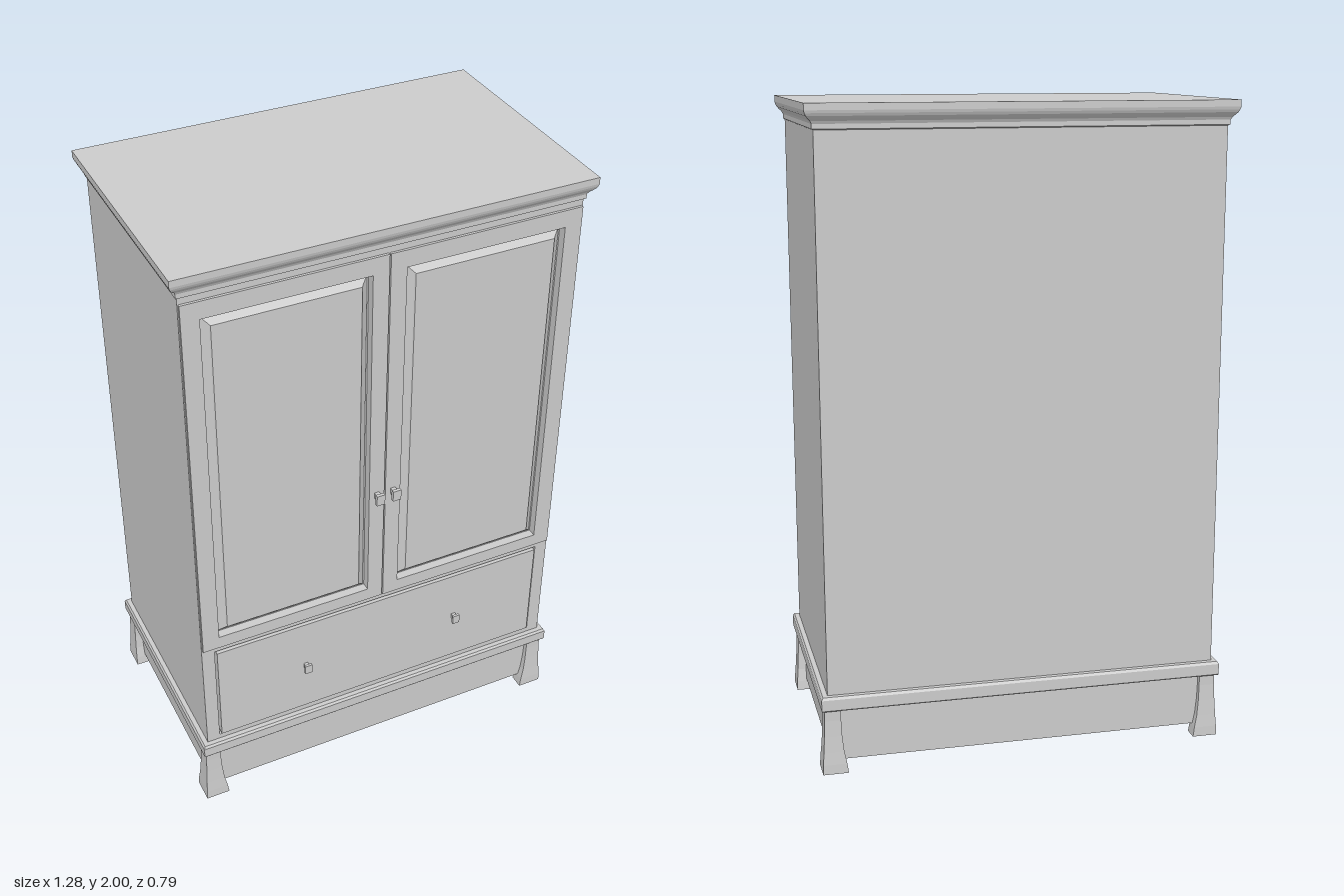
import * as THREE from 'three';

const mat = new THREE.MeshStandardMaterial({ color: 0xcccccc, flatShading: true });

function add(parent, name, geo, x = 0, y = 0, z = 0) {
  const m = new THREE.Mesh(geo, mat);
  m.name = name;
  m.position.set(x, y, z);
  parent.add(m);
  return m;
}

// Box given by its min and max corners
function block(parent, name, x0, x1, y0, y1, z0, z1) {
  return add(parent, name, new THREE.BoxGeometry(x1 - x0, y1 - y0, z1 - z0),
    (x0 + x1) / 2, (y0 + y1) / 2, (z0 + z1) / 2);
}

// Flat board with rectangular openings; rectangles are [x0, x1, y0, y1]
function board(parent, name, rect, holes, z0, z1) {
  const trace = (path, [x0, x1, y0, y1]) =>
    path.moveTo(x0, y0).lineTo(x1, y0).lineTo(x1, y1).lineTo(x0, y1).closePath();
  const shape = trace(new THREE.Shape(), rect);
  holes.forEach(h => shape.holes.push(trace(new THREE.Path(), h)));
  const geo = new THREE.ExtrudeGeometry(shape, { depth: z1 - z0, bevelEnabled: false });
  return add(parent, name, geo, 0, 0, z0);
}

// Closed solid through stacked rings of equal point count
// (each ring runs counter-clockwise seen from the side the stack grows towards)
function loft(rings) {
  const n = rings[0].length, pos = rings.flat(2), idx = [];
  for (let r = 0; r < rings.length - 1; r++)
    for (let i = 0; i < n; i++) {
      const a = r * n + i, b = r * n + (i + 1) % n;
      idx.push(a, b, b + n, a, b + n, a + n);
    }
  const top = (rings.length - 1) * n;
  for (let i = 1; i < n - 1; i++) idx.push(0, i + 1, i, top, top + i, top + i + 1);
  let geo = new THREE.BufferGeometry();
  geo.setAttribute('position', new THREE.Float32BufferAttribute(pos, 3));
  geo.setIndex(idx);
  geo = geo.toNonIndexed();
  geo.computeVertexNormals();
  return geo;
}

const rectY = (w, d, y) => [[-w, y, d], [w, y, d], [w, y, -d], [-w, y, -d]];
const rectZ = (w, h, z) => [[-w, -h, z], [w, -h, z], [w, h, z], [-w, h, z]];

const W = 0.612, D = 0.362; // carcass half width and half depth

function knob(parent, name, x, y, z, w, h, reach) {
  const geo = loft([
    rectZ(w * 0.28, h * 0.28, 0), rectZ(w * 0.28, h * 0.28, reach * 0.45),
    rectZ(w * 0.5, h * 0.5, reach * 0.65), rectZ(w * 0.5, h * 0.5, reach),
  ]);
  add(parent, name, geo, x, y, z);
}

// Flared foot with a chamfered inner corner, drawn for the +x +z corner
function footGeometry() {
  const levels = [
    // y, outer offset, width
    [0, 0.012, 0.078], [0.03, 0.011, 0.073], [0.07, 0.008, 0.062],
    [0.12, 0.005, 0.054], [0.17, 0.003, 0.05], [0.21, 0.003, 0.05],
  ];
  return loft(levels.map(([y, o, w]) => {
    const x1 = 0.62 + o, z1 = 0.365 + o, x0 = x1 - w, z0 = z1 - w, c = w * 0.4;
    return [[x0, y, z1], [x1, y, z1], [x1, y, z0], [x0 + c, y, z0], [x0, y, z0 + c]];
  }));
}

// Mirror a geometry across x and/or z, keeping faces outward
function mirrored(geo, sx, sz) {
  const g = geo.clone().scale(sx, 1, sz);
  if (sx * sz < 0) {
    const p = g.attributes.position, v = new THREE.Vector3(), w = new THREE.Vector3();
    for (let i = 0; i < p.count; i += 3) {
      v.fromBufferAttribute(p, i);
      w.fromBufferAttribute(p, i + 1);
      p.setXYZ(i, w.x, w.y, w.z);
      p.setXYZ(i + 1, v.x, v.y, v.z);
    }
  }
  g.computeVertexNormals();
  return g;
}

export function createModel() {
  const wardrobe = new THREE.Group();
  wardrobe.name = 'wardrobe';

  const panels = [-1, 1].map(s => s < 0 ? [-0.555, -0.052, 0.70, 1.85] : [0.052, 0.555, 0.70, 1.85]);
  const drawerHole = [-0.57, 0.57, 0.267, 0.637];

  // Carcass with a face frame
  block(wardrobe, 'carcass', -W, W, 0.24, 1.94, -D, 0.342);
  board(wardrobe, 'faceFrame', [-W, W, 0.24, 1.94], [...panels, drawerHole], 0.342, D);

  // Stepped cornice
  const cornice = [
    [0, 1.925], [0.005, 1.928], [0.005, 1.942], [0.009, 1.95], [0.016, 1.957],
    [0.022, 1.964], [0.026, 1.972], [0.028, 1.98], [0.028, 2],
  ];
  add(wardrobe, 'cornice', loft(cornice.map(([o, y]) => rectY(W + o, D + o + 0.002, y))));

  // Base moulding and plinth
  const moulding = [[0.018, 0.205], [0.02, 0.208], [0.02, 0.242], [0.015, 0.25]];
  add(wardrobe, 'baseMoulding', loft(moulding.map(([o, y]) => rectY(W + o, D + o, y))));
  block(wardrobe, 'plinth', -0.6, 0.6, 0.036, 0.21, -0.352, 0.352);

  // Four flared feet
  const foot = footGeometry();
  for (const sx of [-1, 1])
    for (const sz of [-1, 1]) add(wardrobe, 'foot', mirrored(foot, sx, sz));

  // Pair of doors with raised, bevelled panels
  [-1, 1].forEach((s, i) => {
    const door = new THREE.Group();
    door.name = s < 0 ? 'rightDoor' : 'leftDoor';
    wardrobe.add(door);
    const rect = s < 0 ? [-0.609, -0.002, 0.657, 1.905] : [0.002, 0.609, 0.657, 1.905];
    board(door, 'doorFrame', rect, [panels[i]], D, 0.37);
    const w = 0.2515, h = 0.575;
    const raised = loft([
      rectZ(w - 0.006, h - 0.006, 0.338), rectZ(w - 0.006, h - 0.006, 0.345),
      rectZ(w - 0.027, h - 0.027, 0.362), rectZ(w - 0.03, h - 0.03, 0.366),
    ]);
    add(door, 'raisedPanel', raised, s * 0.3035, 1.275, 0);
    knob(door, 'doorKnob', s * 0.027, 1.075, 0.369, 0.027, 0.036, 0.031);
  });

  // Wide drawer with two knobs
  const drawer = new THREE.Group();
  drawer.name = 'drawer';
  wardrobe.add(drawer);
  block(drawer, 'drawerFront', -0.564, 0.564, 0.273, 0.631, 0.335, 0.368);
  for (const s of [-1, 1]) knob(drawer, 'drawerKnob', s * 0.267, 0.455, 0.367, 0.024, 0.032, 0.024);

  return wardrobe;
}
